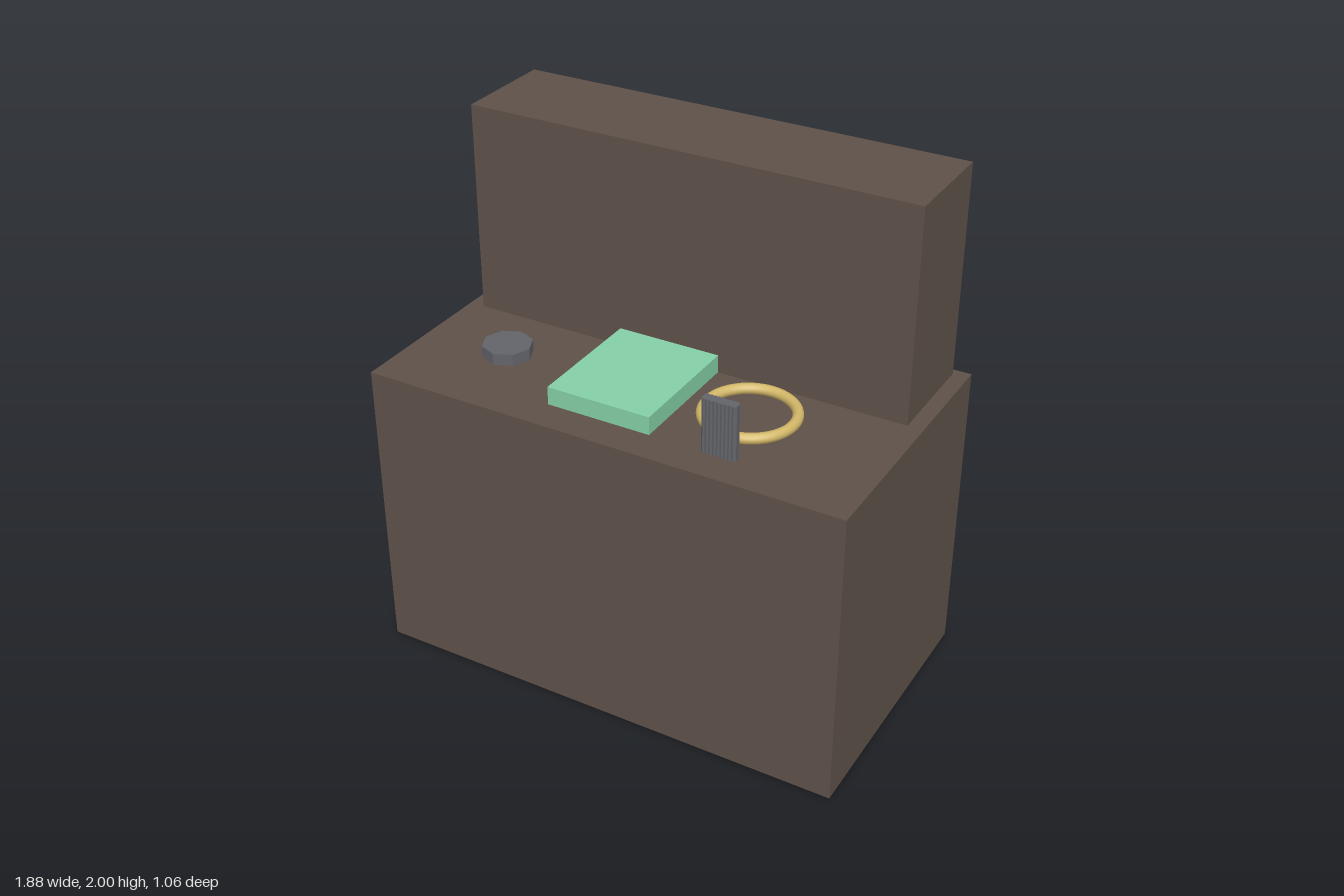
import * as THREE from 'three';

const mat = (color, flatShading = false) => {
  const m = new THREE.MeshStandardMaterial({ flatShading });
  m.color.set(color);
  return m;
};

export function createModel() {
  const group = new THREE.Group();
  const wood = mat(0x5f5149);
  const green = mat(0x84cfa6);
  const gold = mat(0xd2b768);
  const iron = mat(0x63646a, true);

  const add = (name, geometry, material, x, y, z) => {
    const mesh = new THREE.Mesh(geometry, material);
    mesh.name = name;
    mesh.position.set(x, y, z);
    group.add(mesh);
    return mesh;
  };
  // Box given by its extents on each axis
  const box = (name, material, [x0, x1], [y0, y1], [z0, z1]) =>
    add(name, new THREE.BoxGeometry(x1 - x0, y1 - y0, z1 - z0), material,
      (x0 + x1) / 2, (y0 + y1) / 2, (z0 + z1) / 2);

  // Cabinet body and raised back
  const deck = 1.18;
  box('cabinetBody', wood, [-0.94, 0.94], [0, deck], [-0.53, 0.53]);
  box('raisedBack', wood, [-0.88, 0.88], [deck, 2], [-0.5, -0.09]);

  // Flat pad in the middle of the deck
  box('pad', green, [-0.265, 0.143], [deck, 1.25], [-0.09, 0.4]);

  // Eight-sided knob
  add('knob', new THREE.CylinderGeometry(0.095, 0.095, 0.045, 8), iron, -0.59, deck + 0.0225, 0.17);

  // Ring lying flat just above the deck
  add('ring', new THREE.TorusGeometry(0.165, 0.02, 12, 48).rotateX(Math.PI / 2), gold, 0.41, 1.23, 0.175);

  // Upright lever with a rounded, finely ribbed section
  const halfW = 0.066, halfD = 0.02, bevel = 0.009, ribs = 8, groove = 0.003;
  const flat = halfW - bevel;
  const section = [];
  for (const side of [1, -1]) {
    for (let i = 0; i <= ribs * 2; i++) {
      const x = side * (-flat + (2 * flat * i) / (ribs * 2));
      section.push(new THREE.Vector2(x, side * -(halfD - (i % 2 ? groove : 0))));
    }
    section.push(new THREE.Vector2(side * halfW, side * -(halfD - bevel)));
    section.push(new THREE.Vector2(side * halfW, side * (halfD - bevel)));
  }
  const lever = new THREE.ExtrudeGeometry(new THREE.Shape(section), { depth: 0.21, bevelEnabled: false });
  add('lever', lever.rotateX(-Math.PI / 2), iron, 0.41, deck, 0.388);

  return group;
}
